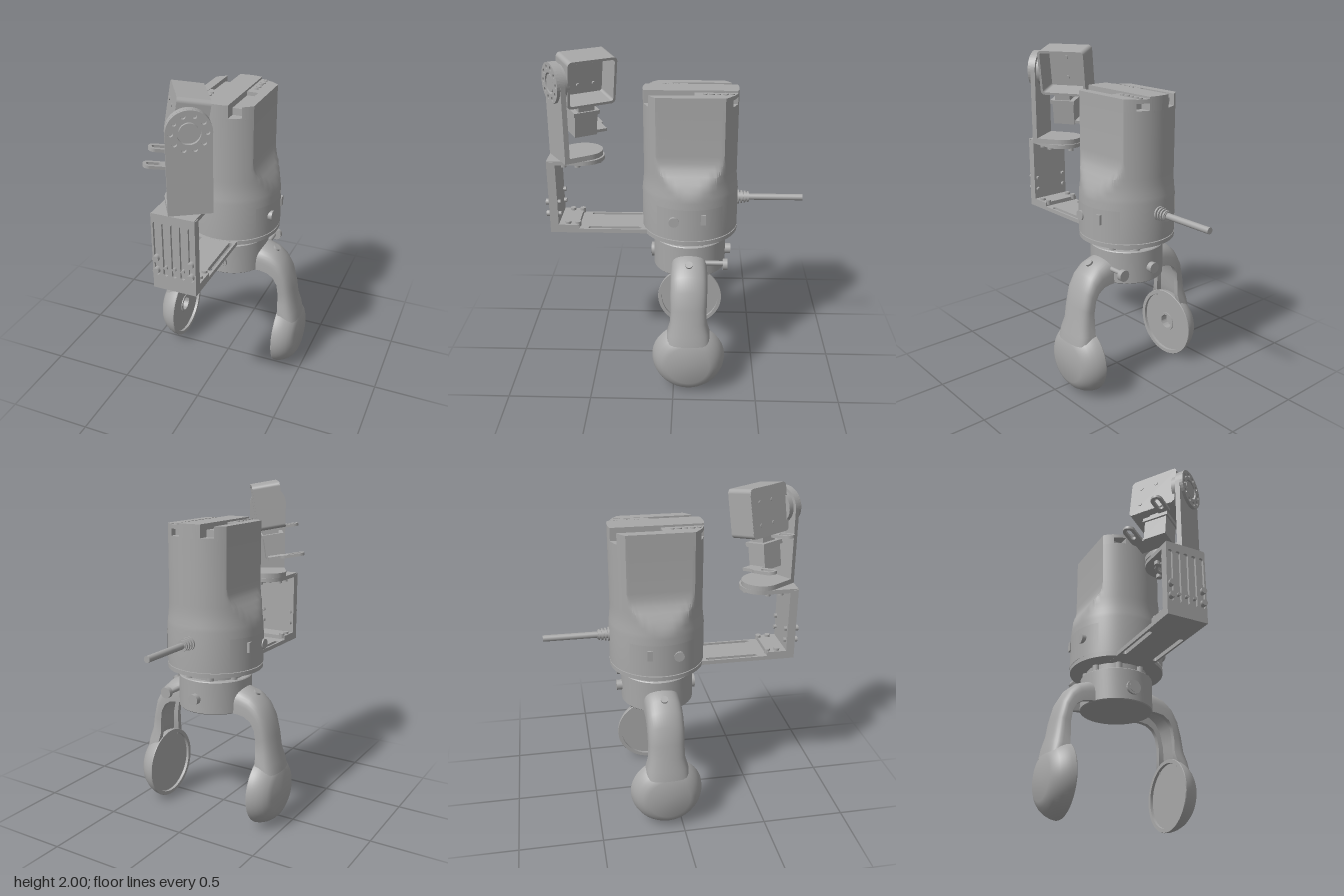
import * as THREE from 'three';
import { toCreasedNormals } from 'three/addons/utils/BufferGeometryUtils.js';

const grey = new THREE.MeshStandardMaterial({ color: 0xa8a8a8, side: THREE.DoubleSide });
grey.name = 'machine grey';

const add = (parent, name, geo, x = 0, y = 0, z = 0) => {
  const m = new THREE.Mesh(geo, grey);
  m.name = name;
  m.position.set(x, y, z);
  parent.add(m);
  return m;
};
const sub = (parent, name, x = 0, y = 0, z = 0) => {
  const g = new THREE.Group();
  g.name = name;
  g.position.set(x, y, z);
  parent.add(g);
  return g;
};
const box = (w, h, d) => new THREE.BoxGeometry(w, h, d);
const cylY = (r, h, n = 32) => new THREE.CylinderGeometry(r, r, h, n);
const cylZ = (r, h, n = 24) => cylY(r, h, n).rotateX(Math.PI / 2);
const cylX = (r, h, n = 24) => cylY(r, h, n).rotateZ(Math.PI / 2);
const extrude = (shape, depth) =>
  new THREE.ExtrudeGeometry(shape, { depth, bevelEnabled: false, curveSegments: 20 });
const lathe = (pts, n = 64) =>
  toCreasedNormals(new THREE.LatheGeometry(pts.map(p => new THREE.Vector2(...p)), n), 0.5);

// Skin joining closed rings of points
function loft(rings) {
  const n = rings[0].length, idx = [];
  for (let i = 0; i < rings.length - 1; i++) for (let j = 0; j < n; j++) {
    const a = i * n + j, d = i * n + (j + 1) % n;
    idx.push(a, a + n, d + n, a, d + n, d);
  }
  const g = new THREE.BufferGeometry();
  g.setAttribute('position', new THREE.Float32BufferAttribute(rings.flat(2), 3));
  g.setIndex(idx);
  return toCreasedNormals(g, 0.6);
}

// Strip with one round end, starting at y = 0
function tongue(r, len) {
  const s = new THREE.Shape();
  s.moveTo(-r, 0);
  s.lineTo(r, 0);
  s.absarc(0, len, r, 0, Math.PI);
  s.closePath();
  return s;
}
// Upright round-ended slot
function slot(Type, x, y0, y1, r) {
  const p = new Type();
  p.absarc(x, y1 - r, r, 0, Math.PI);
  p.absarc(x, y0 + r, r, Math.PI, Math.PI * 2);
  p.closePath();
  return p;
}
function rect(Type, w, h, r) {
  const p = new Type(), a = w / 2 - r, b = h / 2 - r;
  p.absarc(a, b, r, 0, Math.PI / 2);
  p.absarc(-a, b, r, Math.PI / 2, Math.PI);
  p.absarc(-a, -b, r, Math.PI, Math.PI * 1.5);
  p.absarc(a, -b, r, Math.PI * 1.5, Math.PI * 2);
  p.closePath();
  return p;
}
const hole = (x, y, r) => new THREE.Path().absarc(x, y, r, 0, Math.PI * 2);

// Horizontal slice of the round body between two x values
function slab(parent, name, x0, x1, y0, y1, zMin = -1, zMax = 1, R = 0.275) {
  const front = [], back = [];
  for (let k = 0; k <= 10; k++) {
    const x = x0 + (x1 - x0) * k / 10, c = Math.sqrt(R * R - x * x);
    front.push(new THREE.Vector2(x, Math.min(zMax, c)));
    back.unshift(new THREE.Vector2(x, Math.max(zMin, -c)));
  }
  add(parent, name, extrude(new THREE.Shape([...front, ...back]), y1 - y0).rotateX(Math.PI / 2), 0, y1, 0);
}

function buildBody(root) {
  const g = sub(root, 'body', 0, 0, -0.09);
  // Round base that becomes flat-sided above the shoulder: [y, radius, side limit]
  const rows = [[0.965, 0.285, 0.285], [1.2, 0.285, 0.285], [1.225, 0.282, 0.282], [1.26, 0.278, 0.27],
    [1.3, 0.275, 0.25], [1.34, 0.275, 0.228], [1.375, 0.275, 0.208], [1.41, 0.275, 0.198], [1.45, 0.275, 0.195], [1.72, 0.275, 0.195]];
  add(g, 'bodyShell', loft(rows.map(([y, r, w]) => Array.from({ length: 128 }, (_, k) => {
    const a = k / 128 * Math.PI * 2;
    return [Math.max(-w, Math.min(w, r * Math.cos(a))), y, r * Math.sin(a)];
  }))));
  add(g, 'baseGroove', cylY(0.276, 0.012, 64), 0, 0.965, 0);
  add(g, 'baseRing', cylY(0.286, 0.025, 64), 0, 0.948, 0);
  // Top: centre ridge, side rails and stepped channels
  slab(g, 'topFloor', -0.195, 0.195, 1.71, 1.725);
  slab(g, 'topRidge', -0.07, 0.07, 1.72, 1.8);
  for (const s of [-1, 1]) {
    slab(g, 'topRail', Math.min(s * 0.14, s * 0.195), Math.max(s * 0.14, s * 0.195), 1.72, 1.79);
    const x0 = Math.min(s * 0.07, s * 0.14), x1 = x0 + 0.07;
    slab(g, 'channelFloor', x0, x1, 1.72, 1.765, -0.2, 0.2);
    if (s < 0) slab(g, 'connectorStrip', x0, x1, 1.765, 1.788, 0.02);
    else slab(g, 'connectorStrip', x0, x1, 1.765, 1.788, -1, -0.02);
    for (let k = 0; k < 5; k++)
      add(g, 'connectorPin', cylY(k % 2 ? 0.016 : 0.012, 0.008, 16), s * 0.105, 1.79, -s * (0.08 + k * 0.038));
    // Side panel and its buttons
    add(g, 'sidePanel', new THREE.CylinderGeometry(0.288, 0.288, 0.19, 24, 1, true, s * Math.PI / 2 - 0.72, 1.44), 0, 1.065, 0);
    add(g, 'sideButton', cylX(0.03, 0.03), s * 0.273, 1.083, 0.09);
    add(g, 'sideLatch', box(0.03, 0.06, 0.03), s * 0.272, 1.1, -0.08);
  }
  // Cable and strain relief
  add(g, 'cable', cylZ(0.019, 0.41), 0, 1.13, -0.47);
  add(g, 'cableGland', cylZ(0.026, 0.09), 0, 1.13, -0.31);
  for (let k = 0; k < 4; k++) add(g, 'glandRing', cylZ(0.042 - k * 0.003, 0.01), 0, 1.13, -0.289 - k * 0.019);
}

function buildGripper(root) {
  const g = sub(root, 'gripper', 0, 0, -0.09);
  add(g, 'turntable', cylY(0.185, 0.05, 48), 0, 0.912, 0);
  for (let k = 0; k < 8; k++) {
    const a = (k + 0.5) * Math.PI / 4;
    add(g, 'turntableBolt', cylY(0.022, 0.045, 12), 0.185 * Math.cos(a), 0.91, 0.185 * Math.sin(a));
  }
  add(g, 'collar', lathe([[0, 0.69], [0.215, 0.69], [0.22, 0.695], [0.22, 0.885], [0.215, 0.89], [0, 0.89]]));
  add(g, 'frontCap', cylZ(0.044, 0.03), 0, 0.77, 0.219);
  add(g, 'frontCapCentre', cylZ(0.03, 0.034), 0, 0.77, 0.22);
  add(g, 'backKnob', cylZ(0.032, 0.04), 0, 0.78, -0.232);
  add(g, 'backKnobStem', cylZ(0.018, 0.06), 0, 0.78, -0.21);
  add(g, 'sideKnob', cylZ(0.034, 0.028), 0.212, 0.78, -0.215);
  add(g, 'sideKnobStem', cylZ(0.014, 0.16), 0.2, 0.78, -0.14);

  // Arm stations: outer x, y, inner x, y, half width
  const st = [[0.15, 0.845, 0.15, 0.692, 0.11], [0.22, 0.835, 0.22, 0.69, 0.11], [0.29, 0.81, 0.265, 0.682, 0.11],
    [0.345, 0.76, 0.305, 0.655, 0.11], [0.39, 0.68, 0.33, 0.61, 0.11], [0.42, 0.57, 0.34, 0.54, 0.108],
    [0.435, 0.48, 0.34, 0.46, 0.11], [0.455, 0.41, 0.348, 0.4, 0.128], [0.465, 0.35, 0.375, 0.34, 0.13]];
  const rings = st.map(([ox, oy, ix, iy, w]) => {
    const at = (d, z) => [ix + (ox - ix) * d, iy + (oy - iy) * d, z];
    const pts = [];
    for (let k = 0; k <= 20; k++) {
      const a = k / 20 * Math.PI;
      pts.push(at(Math.sqrt(Math.max(0, Math.sin(a))), w * Math.cos(a)));
    }
    // Channel along the inner face
    pts.push(at(0, -w * 0.72), at(0.35, -w * 0.7), at(0.35, w * 0.7), at(0, w * 0.72));
    return pts;
  });
  for (const s of [1, -1]) {
    const f = sub(g, s > 0 ? 'leftFork' : 'rightFork');
    if (s < 0) f.rotation.y = Math.PI;
    add(f, 'forkArm', loft(rings));
    const centre = s > 0 ? [[0, 0.358]] : [[0, 0.4], [0.045, 0.4], [0.045, 0.352], [0.062, 0.352], [0.062, 0.358]];
    add(f, 'forkPad', lathe([...centre, [0.195, 0.358], [0.195, 0.34], [0.218, 0.34], [0.22, 0.345], [0.216, 0.37],
      [0.204, 0.4], [0.185, 0.428], [0.16, 0.45], [0.13, 0.465], [0, 0.465]]).rotateZ(-Math.PI / 2), 0, 0.22, 0);
    add(f, 'armScrew', cylY(0.022, 0.02, 16), 0.29, 0.81, 0).rotation.z = -0.6;
  }
}

function buildLowerBracket(root) {
  const g = sub(root, 'lowerBracket');
  // Floor plate with two long slots
  const floor = new THREE.Shape([[-0.125, 0.05], [0.125, 0.05], [0.125, 0.745], [-0.125, 0.745]].map(p => new THREE.Vector2(...p)));
  for (const s of [-1, 1]) floor.holes.push(slot(THREE.Path, s * 0.1, 0.2, 0.52, 0.013));
  add(g, 'floorPlate', extrude(floor, 0.025).rotateX(Math.PI / 2), 0, 0.96, 0);
  add(g, 'footPlate', box(0.25, 0.03, 0.15), 0, 0.97, 0.65);
  // Upright with grooved face
  add(g, 'upright', box(0.25, 0.44, 0.035), 0, 1.16, 0.7125);
  const face = new THREE.Shape([[-0.125, 0.94], [0.125, 0.94], [0.125, 1.385], [-0.125, 1.385]].map(p => new THREE.Vector2(...p)));
  for (let k = -2; k <= 2; k++) face.holes.push(slot(THREE.Path, k * 0.05, 1.02, 1.34, 0.014));
  add(g, 'groovedFace', extrude(face, 0.015), 0, 0, 0.73);
  for (const x of [-0.1, 0.1]) {
    for (const y of [1.05, 1.125]) {
      add(g, 'uprightBolt', cylZ(0.018, 0.03, 16), x, y, 0.75);
      add(g, 'uprightNut', cylZ(0.014, 0.02, 6), x, y, 0.688);
    }
    for (const z of [0.58, 0.64]) add(g, 'footBolt', cylY(0.017, 0.03, 16), x, 0.985, z);
  }
  for (let k = -1; k <= 1; k++) add(g, 'uprightRivet', cylZ(0.01, 0.02, 12), k * 0.05, 1.07, 0.74);
  // Shelf with round pivot end
  const shelf = tongue(0.122, 0.205);
  shelf.holes.push(hole(0, 0.205, 0.05));
  add(g, 'shelf', extrude(shelf, 0.025).rotateX(-Math.PI / 2), 0, 1.363, 0.745);
  add(g, 'pivotRing', new THREE.TorusGeometry(0.058, 0.01, 8, 32).rotateX(Math.PI / 2), 0, 1.36, 0.54);
  for (const [x, z] of [[-0.08, 0.65], [0.08, 0.65], [-0.08, 0.57], [0.08, 0.57], [0, 0.455]])
    add(g, 'shelfBolt', cylY(0.017, 0.03, 16), x, 1.355, z);
}

function buildHead(root) {
  const g = sub(root, 'swivelHead', -0.01, 0, 0.545);
  g.rotation.y = 0.56;
  // Swivel plate and upright arm
  add(g, 'swivelPlate', extrude(tongue(0.117, 0.165), 0.03).rotateX(-Math.PI / 2), 0, 1.388, 0.165);
  add(g, 'headArm', extrude(tongue(0.117, 0.45), 0.03), 0, 1.39, 0.135);
  // Perforated hinge disc
  const disc = new THREE.Shape().absarc(0, 0, 0.117, 0, Math.PI * 2);
  for (let k = 0; k < 10; k++) {
    const a = k / 10 * Math.PI * 2;
    disc.holes.push(hole(0.09 * Math.cos(a), 0.09 * Math.sin(a), 0.013));
  }
  disc.holes.push(hole(0, 0, 0.06));
  add(g, 'hingeDisc', extrude(disc, 0.018), 0, 1.84, 0.165);
  add(g, 'hingeHub', cylZ(0.05, 0.02, 32), 0, 1.84, 0.17);
  add(g, 'hingeHorn', cylZ(0.1, 0.04, 32), 0, 1.84, 0.12);

  // Tilted housing, open on one side
  const h = sub(g, 'housing', 0.015, 1.845, -0.035);
  h.rotation.z = -0.17;
  const ring = rect(THREE.Shape, 0.3, 0.28, 0.025);
  ring.holes.push(rect(THREE.Path, 0.27, 0.25, 0.015));
  add(h, 'housingWall', extrude(ring, 0.17).rotateY(Math.PI / 2), -0.085, 0, 0);
  add(h, 'housingBack', extrude(rect(THREE.Shape, 0.298, 0.278, 0.025), 0.015).rotateY(Math.PI / 2), -0.086, 0, 0);
  for (const [y, z] of [[0.06, 0.02], [-0.07, 0.02], [0.06, -0.08], [-0.07, -0.08]])
    add(h, 'housingScrew', cylX(0.011, 0.03, 12), -0.075, y, z);

  // Servo block with slotted ears
  const s = sub(g, 'servo', -0.03, 1.585, -0.015);
  s.rotation.z = -0.15;
  add(s, 'servoBody', box(0.12, 0.15, 0.14), 0, 0, 0);
  add(s, 'servoCap', box(0.14, 0.025, 0.16), 0, 0.07, 0);
  add(s, 'servoNeck', box(0.1, 0.05, 0.1), 0.01, 0.1, 0);
  for (const [y, z] of [[-0.07, -0.12], [0.1, 0.05]]) {
    const ear = slot(THREE.Shape, 0, -0.08, 0.08, 0.035);
    ear.holes.push(slot(THREE.Path, 0, -0.02, 0.062, 0.016));
    add(s, 'servoEar', extrude(ear, 0.018).rotateX(-Math.PI / 2).rotateY(Math.PI / 2), -0.1, y, z);
  }
  add(s, 'earPlate', box(0.1, 0.018, 0.2), 0, -0.061, -0.04);
}

export function createModel() {
  const root = new THREE.Group();
  root.name = 'gripperTool';
  buildBody(root);
  buildGripper(root);
  buildLowerBracket(root);
  buildHead(root);
  return root;
}
